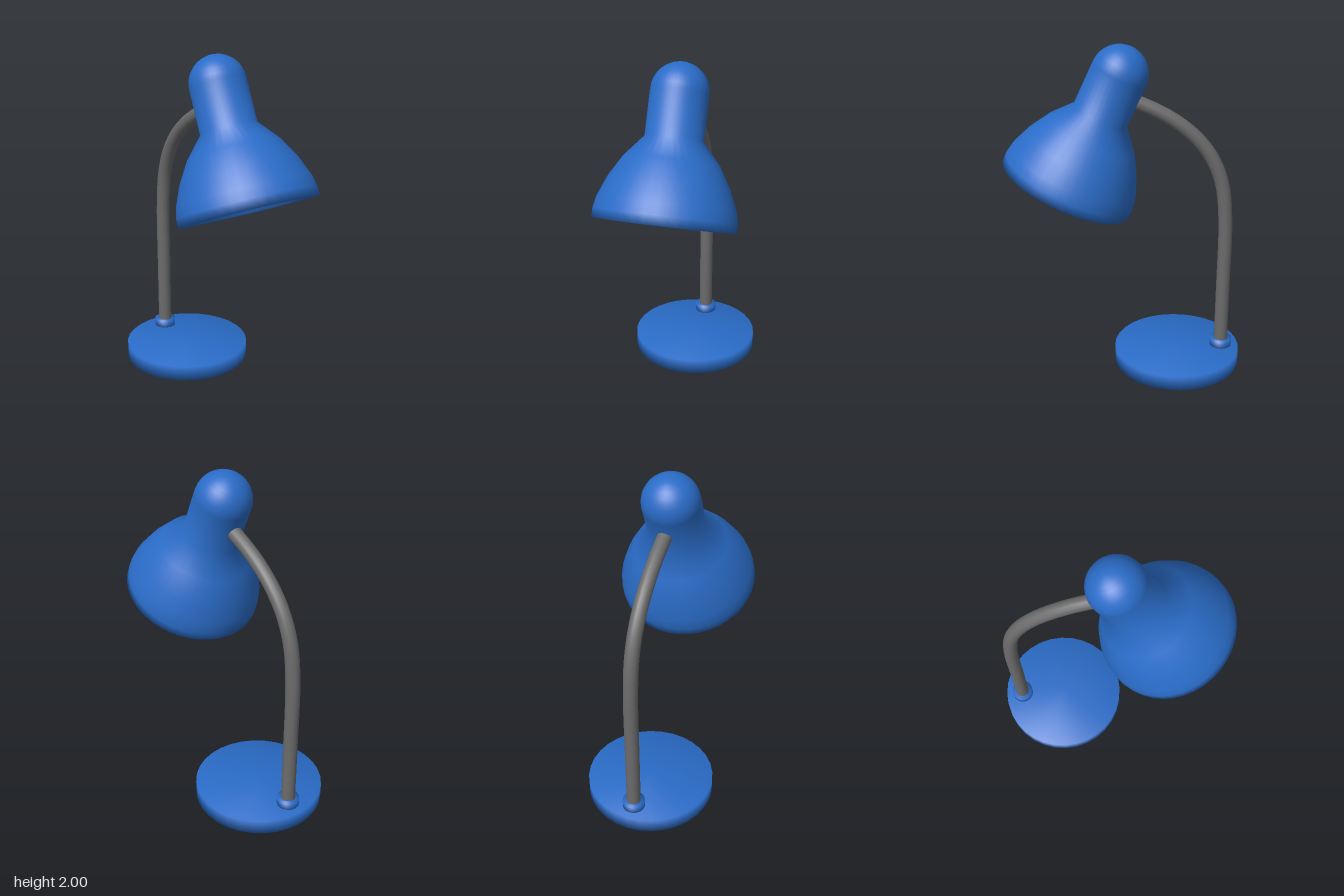
import * as THREE from 'three';
import { mergeVertices } from 'three/addons/utils/BufferGeometryUtils.js';

const blue = new THREE.MeshStandardMaterial({ color: 0x2a6cc8 });
const grey = new THREE.MeshStandardMaterial({ color: 0x6b6b6b });

// Turned part with soft, area-weighted normals across its edges
function turned(name, profile, segments = 32) {
  let geo = new THREE.LatheGeometry(profile.map(([r, y]) => new THREE.Vector2(r, y)), segments);
  geo.deleteAttribute('normal');
  geo.deleteAttribute('uv');
  geo = mergeVertices(geo);
  geo.computeVertexNormals();
  const mesh = new THREE.Mesh(geo, blue);
  mesh.name = name;
  return mesh;
}

const disc = (name, r, h) => turned(name, [[0, 0], [r, 0], [r, h], [0, h]]);

// Quarter-circle from the side of a dome to its top
function domeArc(r, y, steps = 8) {
  return Array.from({ length: steps + 1 }, (_, i) => {
    const a = (i / steps) * Math.PI / 2;
    return [i === steps ? 0 : r * Math.cos(a), y + r * Math.sin(a)];
  });
}

export function createModel() {
  const lamp = new THREE.Group();
  lamp.name = 'deskLamp';

  // Round base and the collar that holds the stem
  const base = disc('base', 0.388, 0.092);
  base.position.z = -0.327;
  const collar = disc('stemCollar', 0.067, 0.052);
  collar.position.set(0, 0.086, -0.605);

  // Bent stem, ending inside the neck of the shade
  const path = new THREE.CatmullRomCurve3([
    [0.09, -0.605], [0.5, -0.605], [0.95, -0.602], [1.18, -0.572], [1.34, -0.505],
    [1.46, -0.41], [1.55, -0.3], [1.61, -0.2], [1.665, -0.08], [1.71, 0.02],
  ].map(([y, z]) => new THREE.Vector3(0, y, z)));
  const stem = new THREE.Mesh(new THREE.TubeGeometry(path, 40, 0.042, 16), grey);
  stem.name = 'stem';

  // Tilted hollow shade: inside from the top down, around the rim, then outside up
  const inside = [
    ...domeArc(0.1, 0.74).reverse(), [0.1, 0.46],
    [0.2, 0.345], [0.268, 0.235], [0.312, 0.115], [0.33, 0],
  ];
  const outside = [
    [0.407, 0], [0.405, 0.054], [0.392, 0.117], [0.343, 0.235], [0.271, 0.357], [0.166, 0.48],
    ...domeArc(0.166, 0.742),
  ];
  const shade = turned('shade', [...inside, ...outside], 40);
  shade.position.set(0, 1.16, 0.34);
  shade.rotation.x = -0.431;

  lamp.add(base, collar, stem, shade);
  return lamp;
}
